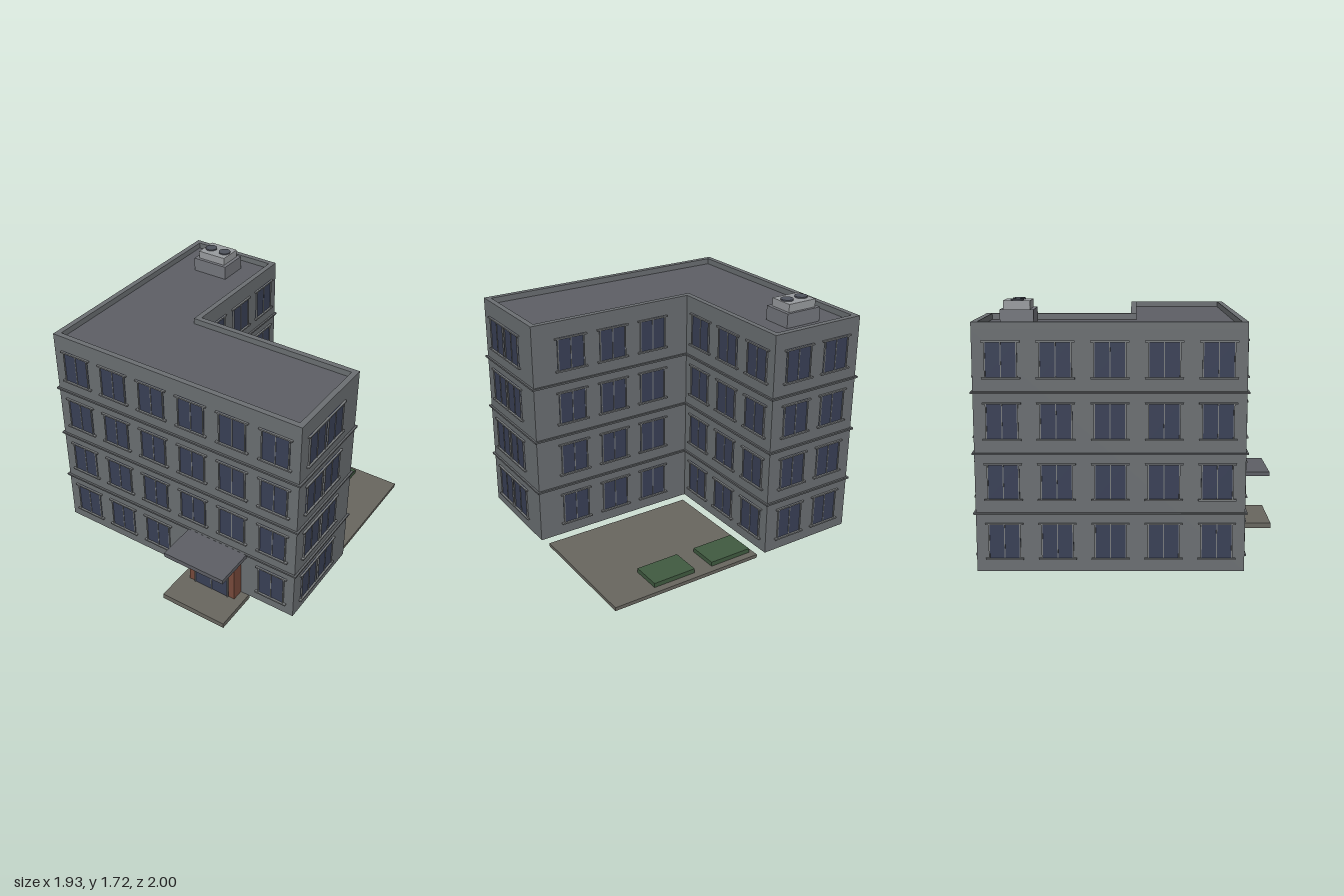
import * as THREE from 'three';

const mat = (color) => new THREE.MeshStandardMaterial({ color });
const M = {
  wall: mat(0x6b6f72), roof: mat(0x5d5f65), trim: mat(0x5f6265), frame: mat(0x777a7c), glass: mat(0x394056),
  brick: mat(0x784a3b), paving: mat(0x68665f), plant: mat(0x405a40), unit: mat(0x999c9f), unitBase: mat(0x74767c), fan: mat(0x50545e),
};

// Box given by its min and max corners
function box(name, material, [x0, y0, z0], [x1, y1, z1]) {
  const mesh = new THREE.Mesh(new THREE.BoxGeometry(x1 - x0, y1 - y0, z1 - z0), material);
  mesh.position.set((x0 + x1) / 2, (y0 + y1) / 2, (z0 + z1) / 2);
  mesh.name = name;
  return mesh;
}

const X0 = -0.948, X1 = 0.945, XI = -0.25, Z0 = -0.98, Z1 = 0.69, ZI = -0.02;

// L-shaped plan grown outwards by o, as shape points (x, -z)
const plan = (o) => [
  [X0 - o, Z1 + o], [X1 + o, Z1 + o], [X1 + o, ZI - o], [XI + o, ZI - o], [XI + o, Z0 - o], [X0 - o, Z0 - o],
].map(([x, z]) => new THREE.Vector2(x, -z));

// L-shaped slab between two heights, optionally hollow
function slab(name, material, grow, y0, y1, holeGrow) {
  const shape = new THREE.Shape(plan(grow));
  if (holeGrow !== undefined) shape.holes.push(new THREE.Path(plan(holeGrow)));
  const geo = new THREE.ExtrudeGeometry(shape, { depth: y1 - y0, bevelEnabled: false });
  geo.rotateX(-Math.PI / 2);
  const mesh = new THREE.Mesh(geo, material);
  mesh.position.y = y0;
  mesh.name = name;
  return mesh;
}

// Two-pane opening facing +z, standing on its local origin
function opening(name, w, h, withSill) {
  const g = new THREE.Group();
  g.name = name;
  const t = 0.008, d = 0.01, a = w / 2;
  g.add(box('glass', M.glass, [-a, 0, -0.01], [a, h, 0.004]));
  for (const s of [-1, 1]) {
    const x = s * (a - t / 2);
    g.add(box('jamb', M.frame, [x - t / 2, 0, 0], [x + t / 2, h, d]));
  }
  g.add(box('mullion', M.frame, [-0.003, 0, 0], [0.003, h, 0.008]));
  g.add(box('lintel', M.frame, [-a - 0.018, h - 0.01, 0], [a + 0.018, h, 0.014]));
  if (withSill) g.add(box('sill', M.frame, [-a - 0.018, 0, 0], [a + 0.018, 0.01, 0.018]));
  return g;
}

export function createModel() {
  const root = new THREE.Group();
  root.name = 'officeBuilding';
  const STOREY = 0.379;

  // Main volume, parapet and storey bands
  root.add(slab('walls', M.wall, 0, 0.04, 1.555));
  root.add(slab('roofDeck', M.roof, -0.03, 1.55, 1.56));
  root.add(slab('parapet', M.wall, 0, 1.555, 1.6, -0.038));
  for (let i = 0; i < 3; i++) {
    const y = 0.407 + i * STOREY;
    root.add(slab('storeyBand', M.trim, 0.014, y, y + 0.012, -0.005));
  }

  // Windows: each facade has a rotation, a wall plane and positions along it
  const spread = (mid, step, n) => Array.from({ length: n }, (_, i) => mid + (i - (n - 1) / 2) * step);
  const facades = [
    { name: 'frontWindow', axis: 'z', at: Z1, turn: 0, along: spread(0, 0.309, 6) },
    { name: 'wingEndWindow', axis: 'x', at: X1, turn: Math.PI / 2, along: [0.276, 0.496] },
    { name: 'courtSideWindow', axis: 'x', at: XI, turn: Math.PI / 2, along: spread(-0.5, 0.31, 3) },
    { name: 'courtBackWindow', axis: 'z', at: ZI, turn: Math.PI, along: spread(0.35, 0.315, 3) },
    { name: 'backWindow', axis: 'z', at: Z0, turn: Math.PI, along: spread(-0.6, 0.31, 2) },
    { name: 'sideWindow', axis: 'x', at: X0, turn: -Math.PI / 2, along: spread(-0.145, 0.33, 5) },
  ];
  for (const f of facades) {
    for (let level = 0; level < 4; level++) {
      f.along.forEach((p, i) => {
        // The entrance takes the place of two ground-floor windows
        if (f.name === 'frontWindow' && level === 0 && (i === 3 || i === 4)) return;
        const w = opening(f.name, 0.2, 0.235, true);
        const y = 0.117 + level * STOREY;
        if (f.axis === 'z') w.position.set(p, y, f.at);
        else w.position.set(f.at, y, p);
        w.rotation.y = f.turn;
        root.add(w);
      });
    }
  }

  // Entrance porch
  const entrance = new THREE.Group();
  entrance.name = 'entrance';
  entrance.add(box('doorSurround', M.brick, [0.17, 0.04, 0.68], [0.536, 0.386, 0.775]));
  const door = opening('door', 0.275, 0.31, false);
  door.position.set(0.353, 0.04, 0.775);
  entrance.add(door);
  entrance.add(box('canopy', M.roof, [0.12, 0.386, 0.68], [0.583, 0.418, 0.985]));
  entrance.add(box('step', M.paving, [0.105, 0, 0.675], [0.597, 0.038, 1]));
  root.add(entrance);

  // Courtyard with planting beds
  root.add(box('courtyard', M.paving, [-0.207, 0, -0.95], [0.907, 0.025, -0.062]));
  for (const x of [-0.177, 0.273]) {
    root.add(box('plantingBed', M.plant, [x, 0.025, -0.9], [x + 0.312, 0.056, -0.693]));
  }

  // Rooftop ventilation unit
  const vent = new THREE.Group();
  vent.name = 'ventilationUnit';
  vent.add(box('unitBase', M.unitBase, [-0.732, 1.558, -0.832], [-0.462, 1.657, -0.622]));
  vent.add(box('unitCase', M.unit, [-0.705, 1.657, -0.813], [-0.487, 1.711, -0.645]));
  for (const x of [-0.654, -0.538]) {
    const fan = new THREE.Mesh(new THREE.CylinderGeometry(0.042, 0.042, 0.012, 20), M.fan);
    fan.position.set(x, 1.714, -0.729);
    fan.name = 'fan';
    vent.add(fan);
  }
  root.add(vent);
  return root;
}
